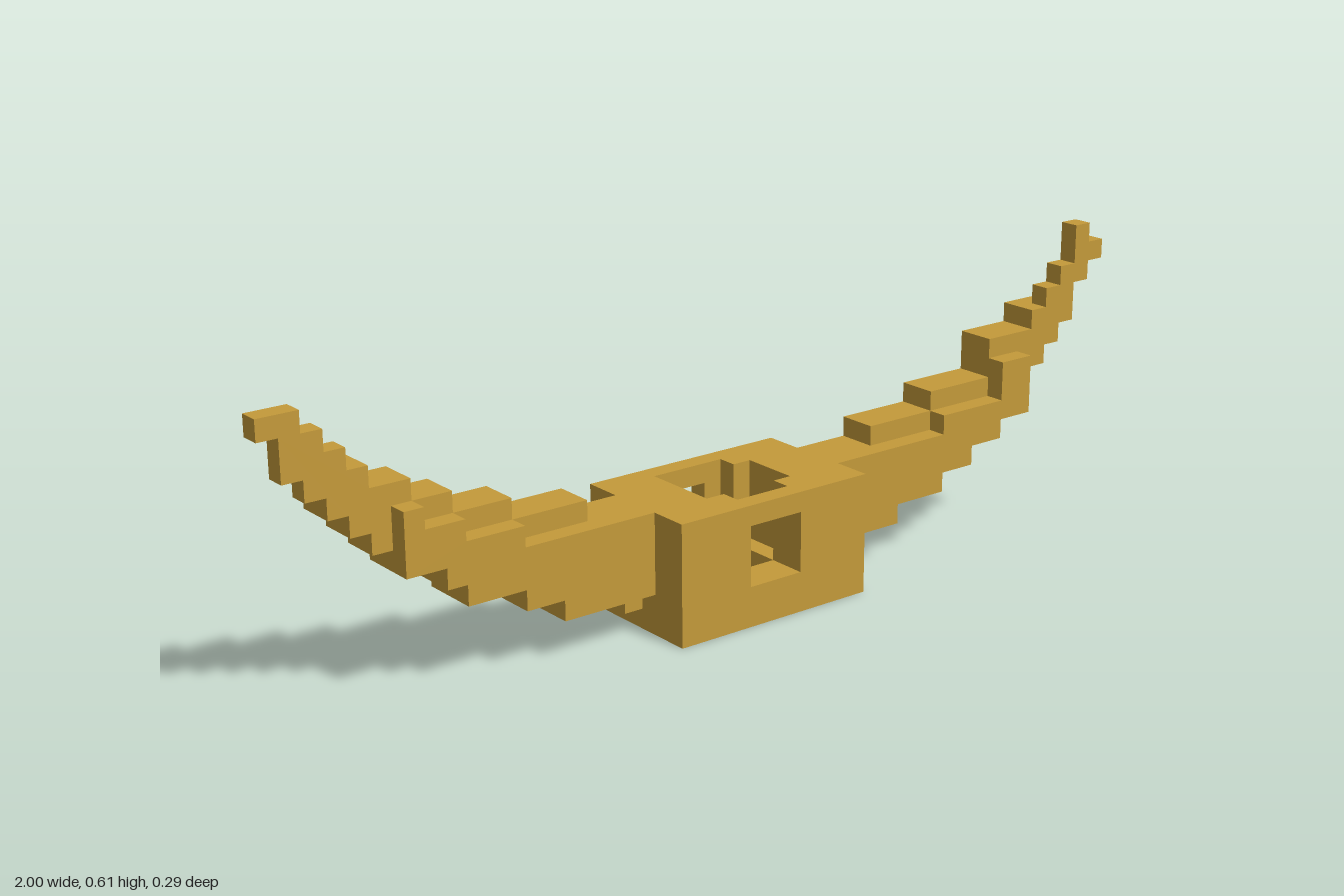
import * as THREE from 'three';

const UNIT = 2 / 49; // size of one block
const gold = new THREE.MeshStandardMaterial({ color: 0xc49a3a });
gold.name = 'gold';

const toPoints = (pairs) => pairs.map(([x, y]) => new THREE.Vector2(x, y));

// Flat slab seen from above (outline in x and -z), raised from y0 to y1
function slab(name, outline, y0, y1, hole) {
  const shape = new THREE.Shape(toPoints(outline));
  if (hole) shape.holes.push(new THREE.Path(toPoints(hole)));
  const geo = new THREE.ExtrudeGeometry(shape, { depth: y1 - y0, bevelEnabled: false });
  geo.rotateX(-Math.PI / 2).translate(0, y0, 0);
  const mesh = new THREE.Mesh(geo, gold);
  mesh.name = name;
  return mesh;
}

// One block thick stepped strip; bottoms and tops hold a height per column
function strip(name, firstColumn, bottoms, tops, z) {
  const x0 = firstColumn - 24.5;
  const upper = [];
  const lower = [];
  tops.forEach((top, i) => {
    upper.push([x0 + i, top], [x0 + i + 1, top]);
    lower.push([x0 + i, bottoms[i]], [x0 + i + 1, bottoms[i]]);
  });
  // drop repeated heights so that only the step corners remain
  const corners = (list) => list.filter((p, i) =>
    i === 0 || i === list.length - 1 || p[1] !== list[i - 1][1] || p[1] !== list[i + 1][1]);
  const outline = [...corners(lower), ...corners(upper).reverse()];
  const geo = new THREE.ExtrudeGeometry(new THREE.Shape(toPoints(outline)), { depth: 1, bevelEnabled: false });
  geo.translate(0, 0, z - 0.5);
  const mesh = new THREE.Mesh(geo, gold);
  mesh.name = name;
  return mesh;
}

// Three layers of a curved arm: long middle, shorter back and front
function arm(side, firstColumn, bottoms, tops) {
  const group = new THREE.Group();
  group.name = side + 'Arm';
  group.add(strip(side + 'ArmMiddle', firstColumn, bottoms, tops, 0));
  const layer = (name, from, to, z, lift, drop) => {
    const a = Math.max(from - firstColumn, 0);
    const b = Math.min(to - firstColumn, tops.length);
    const low = bottoms.slice(a, b).map((v) => Math.max(v + lift, 2));
    const high = tops.slice(a, b).map((v) => Math.min(Math.max(v - drop, 6), 11));
    group.add(strip(side + name, from > firstColumn ? from : firstColumn, low, high, z));
  };
  layer('ArmBack', 3, 46, -1, 0, 0);
  layer('ArmFront', 6, 43, 1, 0, 1);
  return group;
}

export function createModel() {
  const model = new THREE.Group();
  model.name = 'blockyHorn';

  // Hollow central block: floor, two side walls and lid
  const body = new THREE.Group();
  body.name = 'centreBlock';
  const base = [[-5.5, -3.5], [5.5, -3.5], [5.5, 3.5], [-5.5, 3.5]];
  const floorHole = [[-0.5, 2.5], [0.5, 2.5], [0.5, 1.5], [1.5, 1.5], [1.5, -1.5], [-1.5, -1.5],
    [-1.5, -0.5], [-2.5, -0.5], [-2.5, 0.5], [-1.5, 0.5], [-1.5, 1.5], [-0.5, 1.5]];
  const lidHole = [[-2.5, 2.5], [1.5, 2.5], [1.5, 1.5], [2.5, 1.5], [2.5, -1.5], [1.5, -1.5],
    [1.5, -2.5], [-1.5, -2.5], [-1.5, -1.5], [-2.5, -1.5]];
  body.add(slab('floor', base, 0, 2, floorHole), slab('lid', base, 5, 6, lidHole));
  for (const s of [-1, 1]) {
    const wall = [[5.5, -3.5], [5.5, 3.5], [1.5, 3.5], [1.5, 1.5], [2.5, 1.5], [2.5, -1.5], [1.5, -1.5], [1.5, -3.5]]
      .map(([x, y]) => [s * x, y]);
    body.add(slab(s > 0 ? 'leftWall' : 'rightWall', wall, 2, 5));
  }
  // Block filling one corner of the back window
  const corner = new THREE.Mesh(new THREE.BoxGeometry(1, 1, 1), gold);
  corner.name = 'backWindowCorner';
  corner.position.set(1, 4.5, -3);
  body.add(corner);
  model.add(body);

  // Curved arms rising to both sides
  model.add(arm('right', 0,
    [13, 11, 10, 9, 8, 7, 6, 6, 5, 4, 4, 4, 3, 3, 2, 2, 2, 2, 1],
    [14, 14, 13, 12, 11, 10, 10, 9, 9, 8, 8, 8, 7, 7, 7, 7, 6, 6, 6]));
  model.add(arm('left', 30,
    [2, 2, 2, 2, 3, 3, 3, 4, 4, 5, 5, 6, 6, 7, 8, 9, 10, 12, 13],
    [6, 6, 6, 7, 7, 7, 7, 8, 8, 8, 8, 10, 10, 10, 11, 12, 13, 15, 14]));

  model.scale.setScalar(UNIT);
  return model;
}
